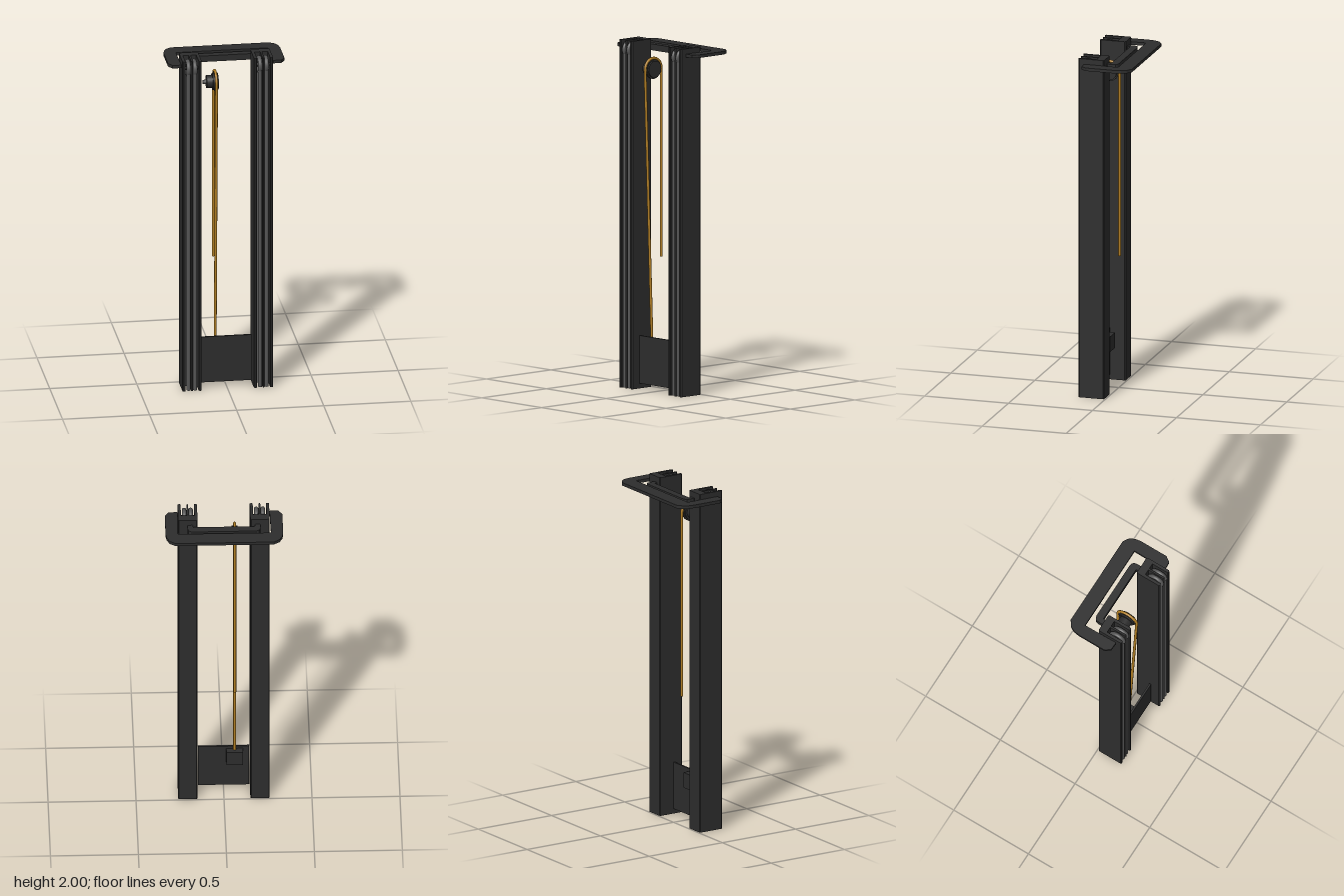
import * as THREE from 'three';

const frameMat = new THREE.MeshStandardMaterial({ color: 0x2d2d2d });
frameMat.name = 'dark frame';
const steelMat = new THREE.MeshStandardMaterial({ color: 0x555555 });
steelMat.name = 'grey steel';
const brassMat = new THREE.MeshStandardMaterial({ color: 0xb07d22 });
brassMat.name = 'brass';

function add(parent, name, geometry, material, x = 0, y = 0, z = 0) {
  const mesh = new THREE.Mesh(geometry, material);
  mesh.name = name;
  mesh.position.set(x, y, z);
  parent.add(mesh);
  return mesh;
}

// Plan outline given as [x, z] points, raised from y = 0 to the given height
function prism(points, height) {
  const shape = new THREE.Shape(points.map(([x, z]) => new THREE.Vector2(x, -z)));
  const geometry = new THREE.ExtrudeGeometry(shape, { depth: height, bevelEnabled: false });
  return geometry.rotateX(-Math.PI / 2);
}

// Completes a half outline by mirroring it across x = 0
function mirrored(half) {
  return [...half, ...half.map(([x, z]) => [-x, z]).reverse()];
}

// Cylinder lying along x
function drum(radius, length, sides = 32) {
  return new THREE.CylinderGeometry(radius, radius, length, sides).rotateZ(Math.PI / 2);
}

// Round rod between two points
function rod(parent, name, from, to, radius, material) {
  const dir = to.clone().sub(from);
  const geometry = new THREE.CylinderGeometry(radius, radius, dir.length(), 12);
  const mesh = add(parent, name, geometry, material);
  mesh.position.copy(from).add(to).multiplyScalar(0.5);
  mesh.quaternion.setFromUnitVectors(new THREE.Vector3(0, 1, 0), dir.normalize());
}

export function createModel() {
  const model = new THREE.Group();
  model.name = 'liftMast';

  // Two E-shaped uprights, each with two wheels and their cables
  for (const side of [-1, 1]) {
    const upright = new THREE.Group();
    upright.name = side > 0 ? 'leftUpright' : 'rightUpright';
    model.add(upright);
    const section = [
      [-0.055, 0.012], [-0.05, 0.007], [0.05, 0.007], [0.055, 0.012],
      [0.055, 0.154], [0.05, 0.16], [0.042, 0.16], [0.038, 0.155], [0.038, 0.055],
      [0.005, 0.055], [0.005, 0.153], [0, 0.16], [-0.005, 0.153], [-0.005, 0.055],
      [-0.038, 0.055], [-0.038, 0.155], [-0.042, 0.16], [-0.05, 0.16], [-0.055, 0.154],
    ];
    add(upright, 'channel', prism(section, 2), frameMat, side * 0.205);

    for (const offset of [-0.0185, 0.0185]) {
      const x = side * 0.205 + offset;
      const rim = new THREE.TorusGeometry(0.04, 0.0125, 12, 32).rotateY(Math.PI / 2);
      add(upright, 'wheelRim', rim, steelMat, x, 1.945, 0.1125);
      add(upright, 'wheelDisc', drum(0.04, 0.012), frameMat, x, 1.945, 0.1125);
      for (const z of [0.073, 0.147]) {
        rod(upright, 'cable', new THREE.Vector3(x, 0.003, z),
          new THREE.Vector3(x, 1.945, z), 0.0115, steelMat);
      }
    }
    add(upright, 'wheelAxle', drum(0.01, 0.085, 16), frameMat, side * 0.205, 1.945, 0.1125);
  }

  // Large top guard, open to the front
  const guard = mirrored([
    [0.265, -0.079], [0.262, 0.122], [0.266, 0.126], [0.312, 0.124], [0.332, 0.095], [0.334, 0.088],
    [0.334, -0.08], [0.328, -0.115], [0.312, -0.145], [0.28, -0.166],
  ].reverse());
  add(model, 'topGuard', prism(guard, 0.018), frameMat, 0, 1.952);

  // Cross brace joining the uprights behind
  const brace = mirrored([
    [0.175, -0.012], [0.177, 0.004], [0.182, 0.009], [0.2, 0.009], [0.207, 0.002],
    [0.207, -0.025], [0.203, -0.043], [0.193, -0.052], [0.178, -0.056],
  ].reverse());
  add(model, 'crossBrace', prism(brace, 0.036), frameMat, 0, 1.93);

  // Lower plate and the hose clamp on its back
  add(model, 'lowerPlate', new THREE.BoxGeometry(0.288, 0.275, 0.011), frameMat, 0, 0.168, 0.102);
  add(model, 'hoseClamp', new THREE.BoxGeometry(0.095, 0.09, 0.04), frameMat, -0.0625, 0.245, 0.077);

  // Pulley with its hub and shaft
  const pulley = new THREE.Group();
  pulley.name = 'pulley';
  pulley.position.set(-0.0625, 1.843, 0.0775);
  model.add(pulley);
  add(pulley, 'sheave', drum(0.056, 0.012), frameMat);
  add(pulley, 'flange', drum(0.048, 0.032), frameMat);
  add(pulley, 'hub', drum(0.037, 0.042), frameMat, -0.0295);
  add(pulley, 'shaft', drum(0.012, 0.022, 16), steelMat, -0.06);

  // Hose over the pulley: a half loop and two hanging strands
  const loop = new THREE.TorusGeometry(0.0625, 0.008, 12, 32, Math.PI).rotateY(Math.PI / 2);
  add(pulley, 'hoseLoop', loop, brassMat);
  rod(model, 'frontHose', new THREE.Vector3(-0.0625, 1.845, 0.14),
    new THREE.Vector3(-0.0625, 0.26, 0.086), 0.008, brassMat);
  rod(model, 'backHose', new THREE.Vector3(-0.0625, 1.845, 0.015),
    new THREE.Vector3(-0.0625, 0.76, 0.015), 0.008, brassMat);

  return model;
}
